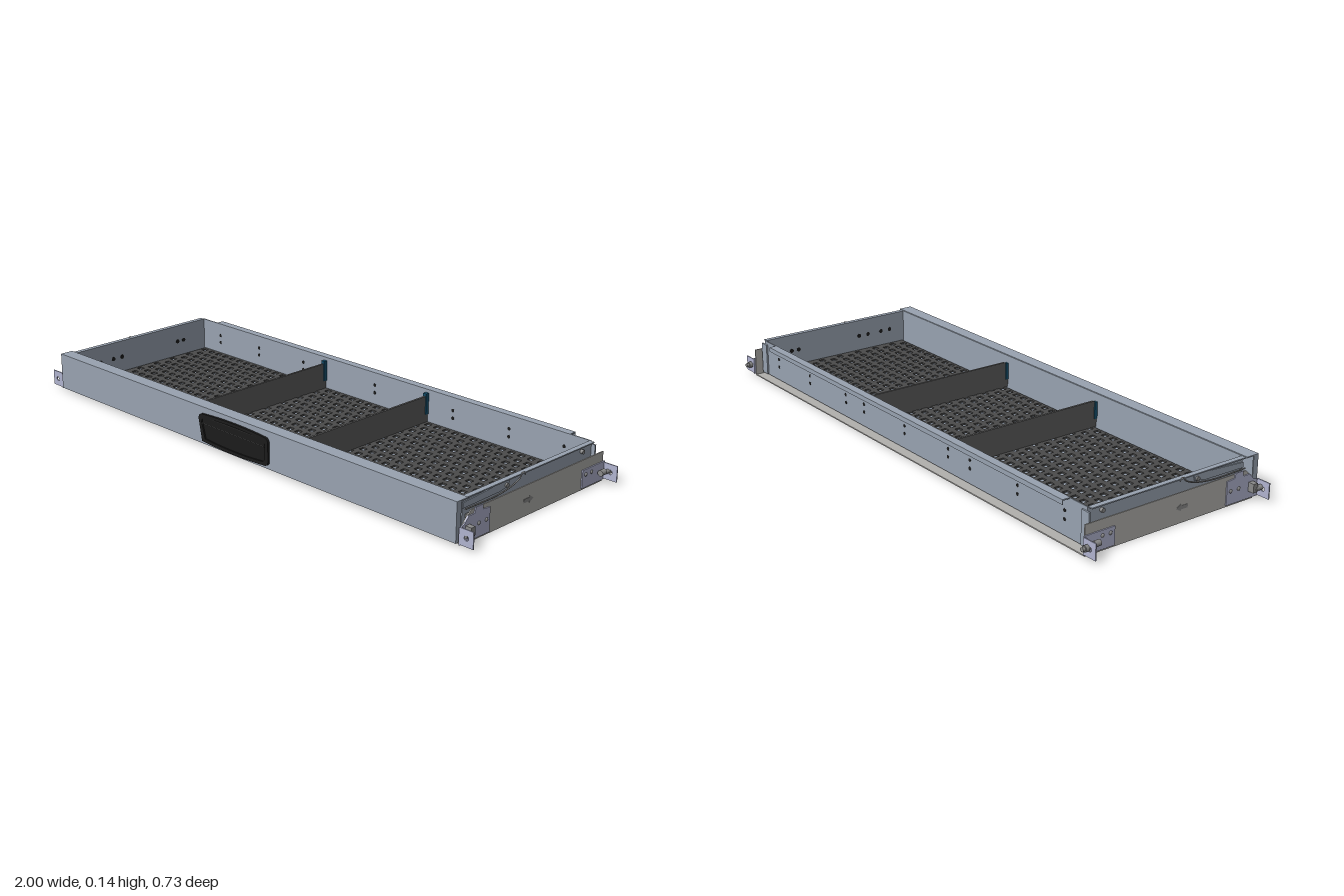
import * as THREE from 'three';
import { RoundedBoxGeometry } from 'three/addons/geometries/RoundedBoxGeometry.js';

export function createModel() {
  const root = new THREE.Group();
  const mat = (color) => new THREE.MeshStandardMaterial({ color, side: THREE.DoubleSide });
  const steel = mat(0x99a3b1), tray = mat(0xb2b1ae), plate = mat(0xb1b4d0), black = mat(0x1b1b1b);
  const matting = mat(0x4b4b4b), dividerGrey = mat(0x5c5c5c), teal = mat(0x14506e), bolt = mat(0x8a8a8a);

  const add = (name, geo, material, x = 0, y = 0, z = 0) => {
    const m = new THREE.Mesh(geo, material);
    m.name = name;
    m.position.set(x, y, z);
    root.add(m);
    return m;
  };
  // box given by its limits
  const box = (name, x0, x1, y0, y1, z0, z1, material) =>
    add(name, new THREE.BoxGeometry(Math.abs(x1 - x0), y1 - y0, z1 - z0), material,
      (x0 + x1) / 2, (y0 + y1) / 2, (z0 + z1) / 2);
  // sheet cut to a (z, y) outline, standing across x
  const sidePlate = (name, pts, x, t, material) => {
    const s = new THREE.Shape(pts.map(([z, y]) => new THREE.Vector2(z, y)));
    const g = new THREE.ExtrudeGeometry(s, { depth: t, bevelEnabled: false });
    g.rotateY(-Math.PI / 2).translate(t / 2, 0, 0);
    return add(name, g, material, x);
  };
  // cylinder lying along x or z
  const rod = (name, r, len, axis, x, y, z, material, n = 16) => {
    const g = new THREE.CylinderGeometry(r, r, len, n);
    if (axis === 'x') g.rotateZ(Math.PI / 2); else g.rotateX(Math.PI / 2);
    return add(name, g, material, x, y, z);
  };
  const rectPath = (P, x, y, w, h) => {
    const p = new P();
    p.moveTo(x, y); p.lineTo(x + w, y); p.lineTo(x + w, y + h); p.lineTo(x, y + h); p.closePath();
    return p;
  };

  // outer tray and drawer floor
  box('trayBottom', -0.945, 0.945, 0, 0.004, -0.34, 0.335, tray);
  box('drawerFloor', -0.92, 0.92, 0.01, 0.014, -0.31, 0.35, steel);

  // perforated mat, laid in staggered rows
  const pitch = 0.04, rows = 15;
  const matRow = (shift) => {
    const s = rectPath(THREE.Shape, -0.91, -pitch / 2, 1.82, pitch);
    for (let i = 0; i < 45; i++) {
      s.holes.push(rectPath(THREE.Path, -0.9 + i * pitch + shift, -0.01, 0.021, 0.02));
    }
    const g = new THREE.ExtrudeGeometry(s, { depth: 0.006, bevelEnabled: false });
    return g.rotateX(-Math.PI / 2);
  };
  const rowGeos = [matRow(0), matRow(0.017)];
  for (let r = 0; r < rows; r++) add('matRow', rowGeos[r % 2], matting, 0, 0.015, -0.285 + r * pitch);

  // folded front panel
  box('frontPanel', -0.94, 0.94, 0.01, 0.14, 0.352, 0.357, steel);
  box('frontTopFlange', -0.94, 0.94, 0.136, 0.14, 0.308, 0.357, steel);
  box('frontInnerWall', -0.92, 0.92, 0.01, 0.138, 0.306, 0.31, steel);
  box('frontBottomFlange', -0.94, 0.94, 0.01, 0.014, 0.335, 0.357, steel);

  // back wall with its folded top
  box('backWall', -0.92, 0.92, 0.01, 0.137, -0.31, -0.306, steel);
  box('backTopFlange', -0.84, 0.84, 0.133, 0.137, -0.335, -0.306, steel);
  box('backLip', -0.84, 0.84, 0.121, 0.137, -0.336, -0.333, steel);
  for (const x of [-0.82, -0.6, -0.36, -0.245, 0.0, 0.245, 0.36, 0.6, 0.82]) {
    for (const y of [0.062, 0.09]) rod('wallHole', 0.006, 0.0056, 'z', x, y, -0.308, black, 12);
  }

  // dividers with end clips
  for (const x of [-0.245, 0.245]) {
    sidePlate('divider', [[-0.305, 0.02], [0.305, 0.02], [0.305, 0.108], [0.29, 0.115], [-0.305, 0.115]],
      x, 0.008, dividerGrey);
    box('dividerClip', x - 0.007, x + 0.007, 0.05, 0.125, -0.306, -0.292, teal);
    box('dividerClip', x - 0.007, x + 0.007, 0.05, 0.11, 0.294, 0.306, teal);
  }

  for (const s of [-1, 1]) {
    // drawer side with outward top flange and front end return
    sidePlate('drawerSide', [[-0.31, 0.01], [0.31, 0.01], [0.31, 0.137], [-0.31, 0.137]], s * 0.918, 0.004, steel);
    box('sideTopFlange', s * 0.916, s * 0.934, 0.133, 0.137, -0.305, 0.31, steel);
    box('frontEndReturn', s * 0.936, s * 0.94, 0.01, 0.14, 0.337, 0.355, steel);
    box('backCornerPost', s * 0.9, s * 0.934, 0.012, 0.125, -0.316, -0.31, steel);
    for (const z of [0.115, -0.258]) rod('sideRivet', 0.007, 0.012, 'x', s * 0.924, 0.115, z, bolt);
    for (const z of [-0.2, -0.17, 0.1, 0.14, 0.2, 0.24])
      rod('sideHole', 0.008, 0.0056, 'x', s * 0.918, 0.075, z, black, 12);

    // outer rail, arrow mark and inner runner
    sidePlate('outerRail', [[-0.34, 0], [0.335, 0], [0.335, 0.065], [0.3, 0.1], [-0.34, 0.1]], s * 0.944, 0.004, tray);
    box('runner', s * 0.924, s * 0.938, 0.03, 0.08, -0.3, 0.3, bolt);
    sidePlate('arrowMark', [[0.058, 0.045], [0.03, 0.045], [0.03, 0.04], [0.011, 0.051],
      [0.03, 0.062], [0.03, 0.057], [0.058, 0.057]], s * 0.9466, 0.0014, bolt);

    // latch spring over the rail
    const spring = new THREE.CatmullRomCurve3([[0.31, 0.1], [0.16, 0.1], [0.09, 0.112], [0.06, 0.125],
      [0.052, 0.136], [0.042, 0.137], [0.036, 0.128]].map(([z, y]) => new THREE.Vector3(s * 0.932, y, z)));
    add('latchSpring', new THREE.TubeGeometry(spring, 40, 0.0025, 6), bolt);
    sidePlate('latchArm', [[0.31, 0.1], [0.15, 0.102], [0.105, 0.109], [0.1, 0.13], [0.15, 0.128], [0.31, 0.118]],
      s * 0.923, 0.003, steel);

    // front mounting bracket
    sidePlate('frontBracket', [[0.352, 0.006], [0.218, 0.006], [0.218, 0.085], [0.25, 0.088], [0.252, 0.104],
      [0.284, 0.104], [0.287, 0.086], [0.315, 0.086], [0.332, 0.066], [0.352, 0.06]], s * 0.948, 0.004, plate);
    // rear mounting bracket
    sidePlate('rearBracket', [[-0.346, 0.006], [-0.23, 0.006], [-0.23, 0.067], [-0.346, 0.067]], s * 0.948, 0.004, plate);
    for (const z of [0.268, 0.234, -0.247, -0.277]) {
      const head = add('bracketRivet', new THREE.SphereGeometry(0.0065, 14, 10), bolt, s * 0.95, 0.05, z);
      head.scale.x = 0.6;
    }

    // outward mounting ears and their bolts
    for (const [name, z] of [['frontEar', 0.35], ['rearEar', -0.344]]) {
      const ear = rectPath(THREE.Shape, -0.026, -0.027, 0.052, 0.054);
      ear.holes.push(new THREE.Path().absarc(0, 0, 0.008, 0, Math.PI * 2, true));
      const g = new THREE.ExtrudeGeometry(ear, { depth: 0.004, bevelEnabled: false, curveSegments: 8 });
      add(name, g, plate, s * 0.974, 0.036, z - 0.002);
    }
    rod('frontPin', 0.009, 0.028, 'z', s * 0.966, 0.04, 0.336, bolt);
    box('frontPinCollar', s * 0.95, s * 0.972, 0.03, 0.06, 0.31, 0.328, bolt);
    rod('rearBolt', 0.007, 0.05, 'z', s * 0.966, 0.038, -0.343, bolt);
    rod('rearBoltHead', 0.012, 0.012, 'z', s * 0.966, 0.038, -0.353, bolt, 6);
    rod('rearBoltSleeve', 0.01, 0.022, 'z', s * 0.966, 0.042, -0.312, bolt);
  }

  // handle: bowed plate, raised rim and grip ridge
  const bowed = (P, w, h) => {
    const p = new P();
    p.moveTo(-w + 0.015, -h + 0.006);
    p.quadraticCurveTo(0, -h - 0.006, w - 0.015, -h + 0.006);
    p.quadraticCurveTo(w, -h + 0.008, w, -h + 0.025);
    p.lineTo(w, h - 0.025);
    p.quadraticCurveTo(w, h - 0.008, w - 0.015, h - 0.006);
    p.quadraticCurveTo(0, h + 0.006, -w + 0.015, h - 0.006);
    p.quadraticCurveTo(-w, h - 0.008, -w, h - 0.025);
    p.closePath();
    return p;
  };
  const solid = (shape, depth) => new THREE.ExtrudeGeometry(shape, { depth, bevelEnabled: false, curveSegments: 12 });
  add('handlePlate', solid(bowed(THREE.Shape, 0.165, 0.054), 0.004), black, 0, 0.07, 0.356);
  const rim = bowed(THREE.Shape, 0.167, 0.054);
  rim.holes.push(bowed(THREE.Path, 0.152, 0.043));
  add('handleRim', solid(rim, 0.009), black, 0, 0.07, 0.356);
  add('handleGrip', new RoundedBoxGeometry(0.3, 0.026, 0.008, 3, 0.003), black, 0, 0.098, 0.361);
  box('gripRidge', -0.15, 0.15, 0.084, 0.087, 0.358, 0.3645, dividerGrey);

  return root;
}
